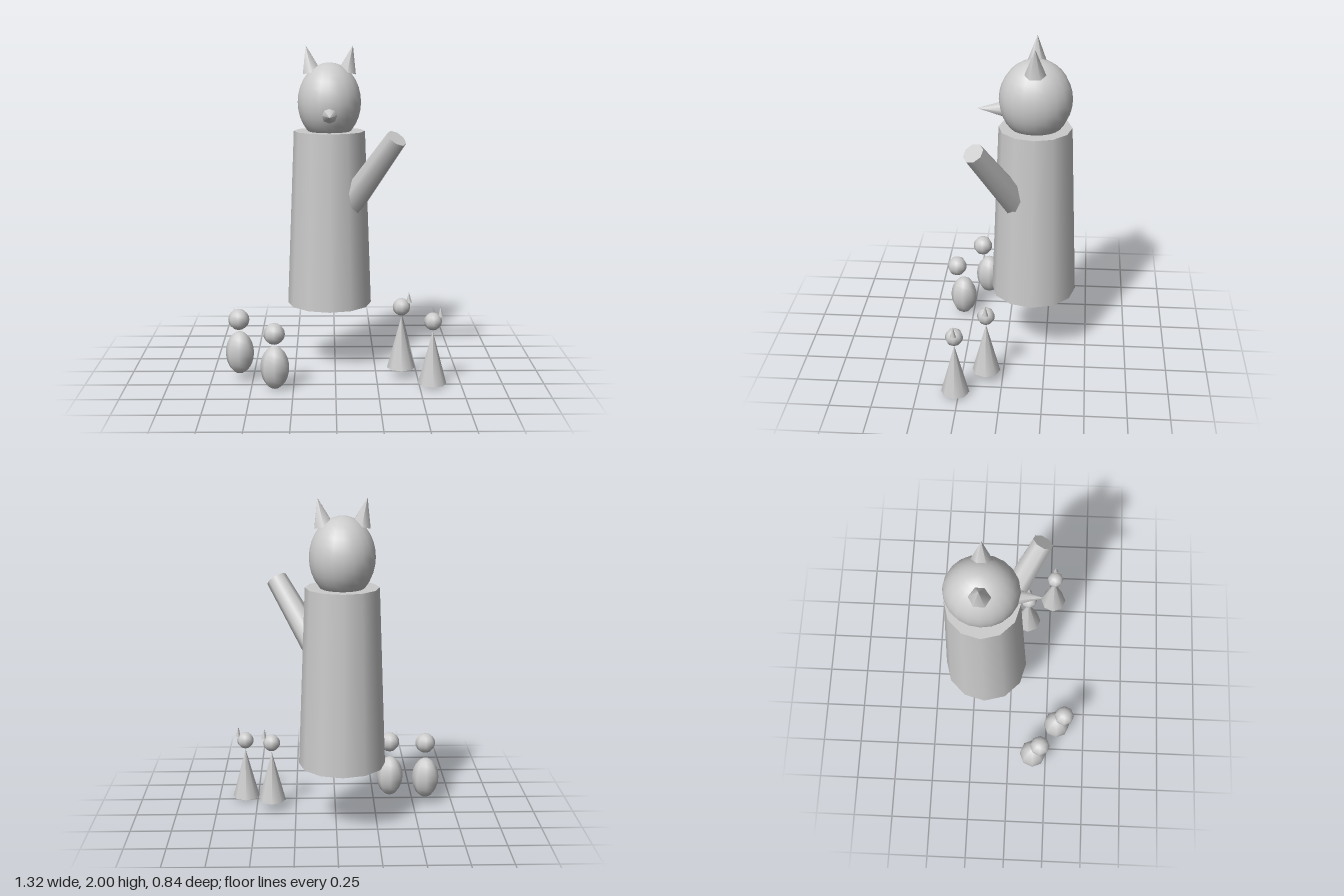
import * as THREE from 'three';

const grey = new THREE.MeshStandardMaterial({ color: 0xcccccc });

function add(parent, name, geometry, x, y, z) {
  const mesh = new THREE.Mesh(geometry, grey);
  mesh.name = name;
  mesh.position.set(x, y, z);
  parent.add(mesh);
  return mesh;
}

function subgroup(parent, name, x, y, z) {
  const group = new THREE.Group();
  group.name = name;
  group.position.set(x, y, z);
  parent.add(group);
  return group;
}

// Tall figure: tapered body, egg-shaped head, two ears, pointed nose, raised arm
function addTallFigure(root) {
  const figure = subgroup(root, 'tallFigure', -0.035, 0, -0.165);
  add(figure, 'body', new THREE.CylinderGeometry(0.218, 0.26, 1.08, 12), 0, 0.94, 0);
  add(figure, 'head', new THREE.SphereGeometry(1, 20, 16), 0, 1.655, 0).scale.set(0.193, 0.24, 0.216);

  for (const side of [-1, 1]) {
    const ear = add(figure, side > 0 ? 'leftEar' : 'rightEar',
      new THREE.ConeGeometry(0.063, 0.165, 6), side * 0.125, 1.917, 0);
    ear.rotation.z = -side * 0.22;
  }

  const nose = add(figure, 'nose', new THREE.ConeGeometry(0.053, 0.17, 8), 0, 1.59, 0.26);
  nose.rotation.x = Math.PI / 2;

  // Arm runs from inside the body up to the hand end
  const shoulder = new THREE.Vector3(0.08, 0.97, 0.065);
  const hand = new THREE.Vector3(0.392, 1.47, 0.33);
  const along = hand.clone().sub(shoulder);
  const middle = shoulder.clone().add(hand).multiplyScalar(0.5);
  const arm = add(figure, 'arm', new THREE.CylinderGeometry(0.064, 0.086, along.length(), 8),
    middle.x, middle.y, middle.z);
  arm.quaternion.setFromUnitVectors(new THREE.Vector3(0, 1, 0), along.normalize());
}

// Small egg-bodied figure with its head set slightly forward
function addEggFigure(root, x, y, z) {
  const figure = subgroup(root, 'eggFigure', x, y, z);
  add(figure, 'eggBody', new THREE.SphereGeometry(1, 8, 12), 0, 0.13, 0).scale.set(0.085, 0.13, 0.085);
  add(figure, 'eggHead', new THREE.SphereGeometry(0.063, 8, 12), 0, 0.347, 0.042);
}

// Small cone-bodied figure with a single pointed tuft on its left
function addConeFigure(root, x, y, z) {
  const figure = subgroup(root, 'coneFigure', x, y, z);
  add(figure, 'coneBody', new THREE.ConeGeometry(0.085, 0.32, 8), 0, 0.16, 0);
  add(figure, 'coneHead', new THREE.SphereGeometry(0.053, 8, 12), 0, 0.381, 0);
  add(figure, 'tuft', new THREE.ConeGeometry(0.018, 0.065, 6), 0.045, 0.442, 0).rotation.z = 0.05;
}

export function createModel() {
  const root = new THREE.Group();
  root.name = 'figureGroup';
  addTallFigure(root);
  addEggFigure(root, -0.577, 0.045, 0.163);
  addEggFigure(root, -0.36, 0, 0.315);
  addConeFigure(root, 0.4, 0.057, 0.098);
  addConeFigure(root, 0.575, 0.015, 0.27);
  return root;
}
